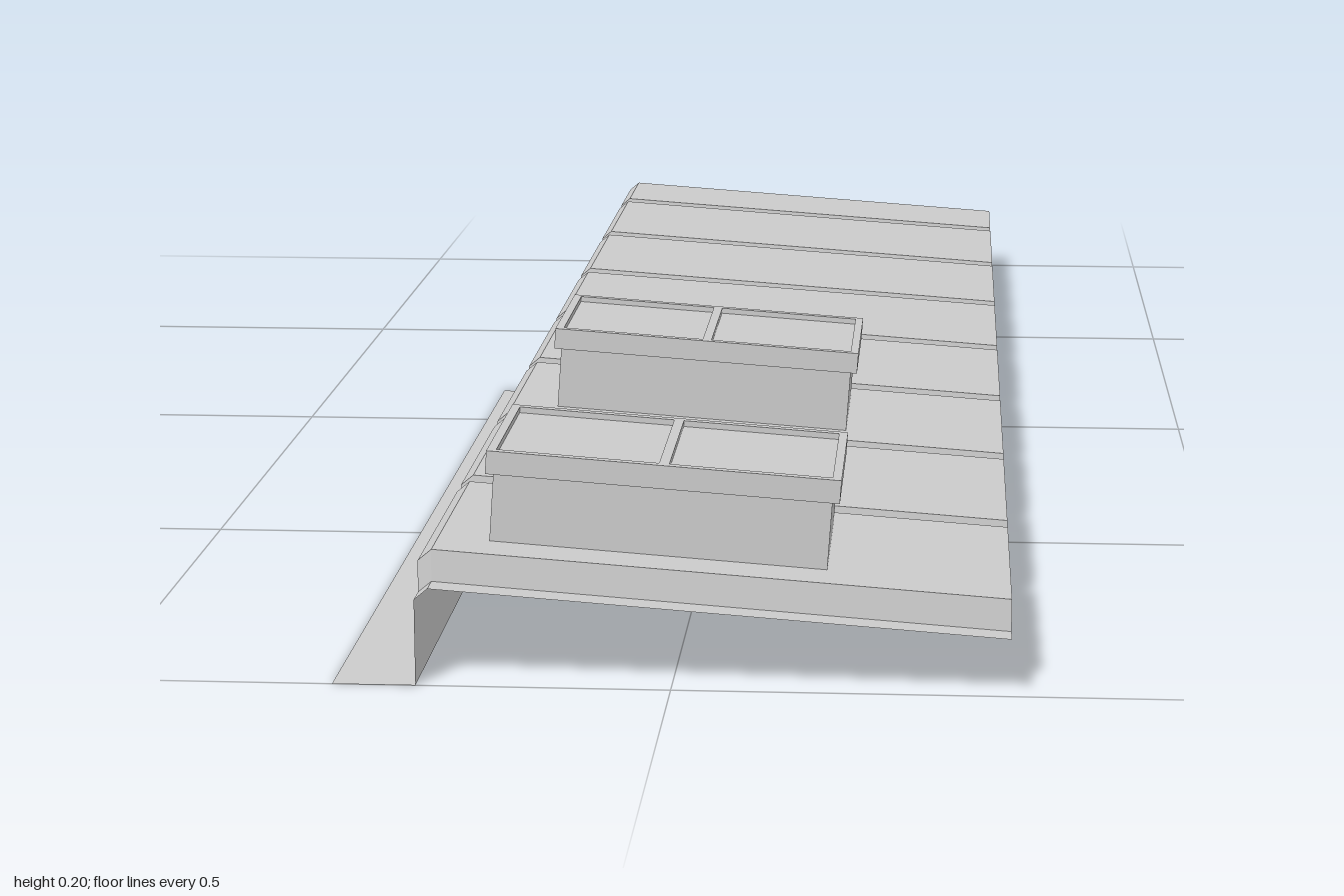
import * as THREE from 'three';

const grey = new THREE.MeshStandardMaterial({ color: 0xcccccc });
const sheetGrey = new THREE.MeshStandardMaterial({ color: 0xcccccc, side: THREE.DoubleSide, flatShading: true });

const TILT = Math.atan2(0.036, 0.503);
const CURB = { x: -0.0165, length: 0.298, width: 0.166, height: 0.065, wall: 0.006 };
const FRAME = { length: 0.311, width: 0.18, height: 0.021, rim: 0.008 };
const SKYLIGHT_Z = [0.324, 0.848];
const DROP = 0.028;

function roofY(x) {
  return 0.115 - (x + 0.21) * 0.036 / 0.503;
}

function add(group, name, geometry, material = grey) {
  const mesh = new THREE.Mesh(geometry, material);
  mesh.name = name;
  group.add(mesh);
  return mesh;
}

// Ribbed sheet: columns run across (x, y, share of the groove drop), rows run along z
function sheet(columns, rows, isHole = () => false) {
  const pos = [];
  const point = (c, r) => [c.x, c.y - r.d * c.w, r.z];
  for (let i = 0; i < columns.length - 1; i++) {
    for (let j = 0; j < rows.length - 1; j++) {
      const [c0, c1, r0, r1] = [columns[i], columns[i + 1], rows[j], rows[j + 1]];
      if (isHole((c0.x + c1.x) / 2, (r0.z + r1.z) / 2)) continue;
      const a = point(c0, r0), b = point(c0, r1), c = point(c1, r1), d = point(c1, r0);
      pos.push(...a, ...c, ...b, ...a, ...d, ...c);
    }
  }
  const g = new THREE.BufferGeometry();
  g.setAttribute('position', new THREE.Float32BufferAttribute(pos, 3));
  g.computeVertexNormals();
  return g;
}

// Upright rectangular ring standing on y = 0
function ring(length, width, wall, height) {
  const rect = (Type, l, w) => new Type([
    new THREE.Vector2(-l / 2, -w / 2), new THREE.Vector2(l / 2, -w / 2),
    new THREE.Vector2(l / 2, w / 2), new THREE.Vector2(-l / 2, w / 2),
  ]);
  const shape = rect(THREE.Shape, length, width);
  shape.holes.push(rect(THREE.Path, length - 2 * wall, width - 2 * wall));
  const g = new THREE.ExtrudeGeometry(shape, { depth: height, bevelEnabled: false });
  return g.rotateX(-Math.PI / 2);
}

function skylight(z) {
  const group = new THREE.Group();
  group.name = 'skylight';
  add(group, 'curb', ring(CURB.length, CURB.width, CURB.wall, CURB.height));
  const base = CURB.height - 0.002;
  add(group, 'frame', ring(FRAME.length, FRAME.width, FRAME.rim, FRAME.height)).position.y = base;

  // Two recessed panes either side of a middle bar
  const inner = FRAME.length - 2 * FRAME.rim;
  const innerWidth = FRAME.width - 2 * FRAME.rim;
  for (const side of [-1, 1]) {
    const pane = add(group, 'pane', new THREE.BoxGeometry(inner / 2, 0.005, innerWidth));
    pane.position.set(side * inner / 4, base + FRAME.height - 0.008, 0);
  }
  const bar = add(group, 'middleBar', new THREE.BoxGeometry(0.009, FRAME.height, innerWidth));
  bar.position.y = base + FRAME.height / 2;

  group.position.set(CURB.x, roofY(CURB.x) - 0.001, z);
  group.rotation.z = -TILT;
  return group;
}

export function createModel() {
  const model = new THREE.Group();
  model.name = 'roofSection';

  // Lengthwise profile: wide flats with narrow grooves
  const flat = (z) => ({ z, d: 0 });
  const low = (z) => ({ z, d: DROP });
  const rows = [flat(-1)];
  for (let i = 0; i < 8; i++) {
    const z = -0.862 + i * 0.2622;
    rows.push(flat(z), low(z + 0.003));
    if (i < 7) rows.push(low(z + 0.021), flat(z + 0.024));
    else rows.push(low(1));
  }

  // Split the sheet around the skylight openings
  const halfL = CURB.length / 2 - CURB.wall, halfW = CURB.width / 2 - CURB.wall;
  const roofRows = [...rows];
  for (const z of SKYLIGHT_Z) roofRows.push(flat(z - halfW), flat(z + halfW));
  roofRows.sort((a, b) => a.z - b.z);
  const onRoof = (x) => ({ x, y: roofY(x), w: 1 });
  const roofColumns = [
    onRoof(0.293), onRoof(CURB.x + halfL), onRoof(CURB.x - halfL), onRoof(-0.21),
    { x: -0.222, y: 0.105, w: 1 },
  ];
  const isHole = (x, z) => Math.abs(x - CURB.x) < halfL &&
    SKYLIGHT_Z.some((s) => Math.abs(z - s) < halfW);
  add(model, 'ribbedRoof', sheet(roofColumns, roofRows, isHole), sheetGrey);

  // Side wall under the high edge, turning out into a ledge
  const wallRows = [flat(-0.15), ...rows.filter((r) => r.z > -0.15)];
  const top = { x: -0.222, y: 0.105, w: 1 };
  const foot = { x: -0.222, y: 0, w: 0 };
  add(model, 'sideWall', sheet([top, foot], wallRows), sheetGrey);
  add(model, 'ledge', sheet([foot, { x: -0.295, y: 0, w: 0 }], [flat(-0.15), flat(1)]), sheetGrey);

  for (const z of SKYLIGHT_Z) model.add(skylight(z));
  return model;
}
